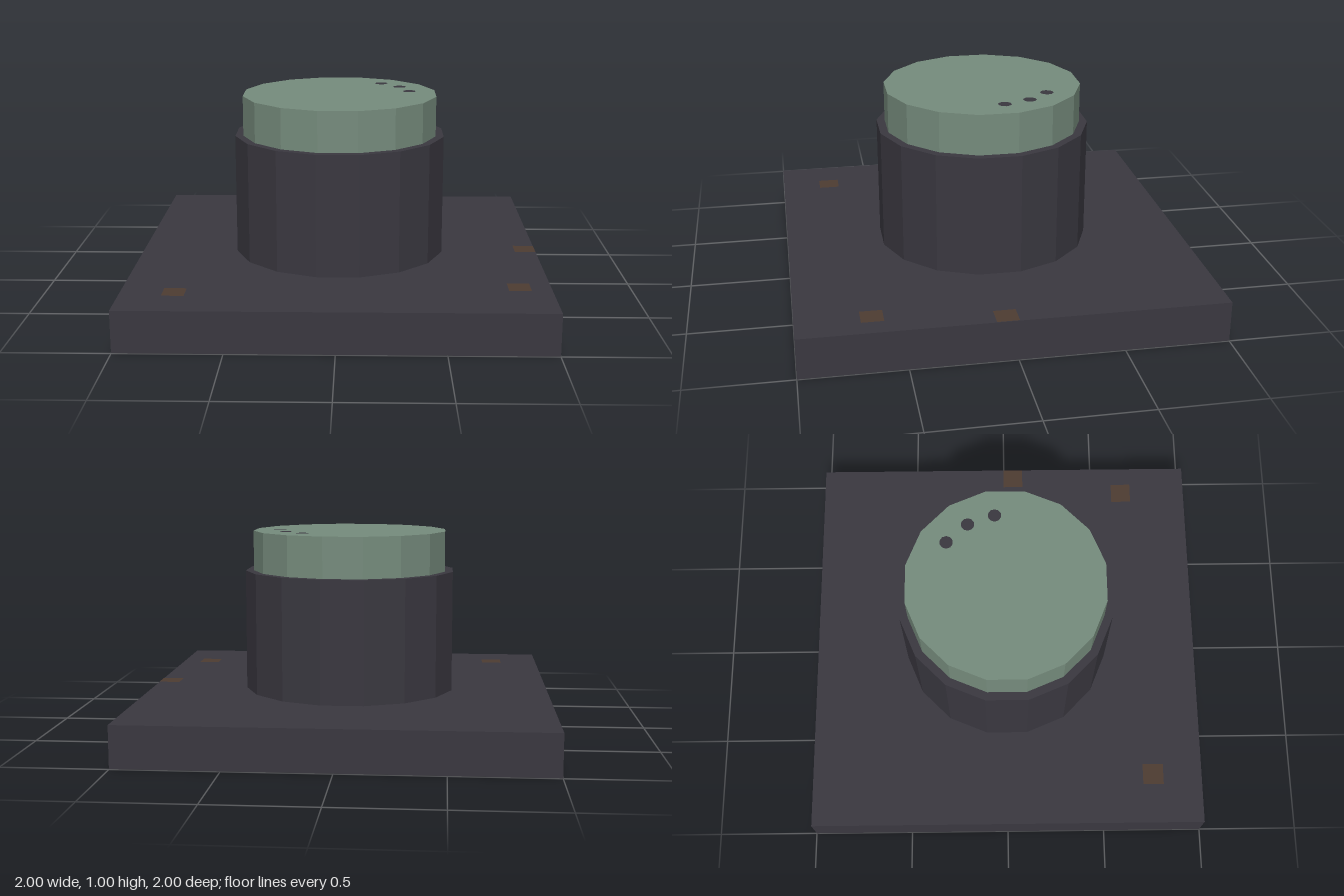
import * as THREE from 'three';

export function createModel() {
  const group = new THREE.Group();
  const mat = (name, color) => {
    const m = new THREE.MeshStandardMaterial({ color });
    m.name = name;
    return m;
  };
  const iron = mat('dark iron', 0x3a3840);
  const green = mat('muted green', 0x768c7d);
  const rust = mat('rust brown', 0x4e3c32);

  const add = (name, geometry, material, x, y, z) => {
    const mesh = new THREE.Mesh(geometry, material);
    mesh.name = name;
    mesh.position.set(x, y, z);
    group.add(mesh);
    return mesh;
  };

  // Sixteen-sided drum with a flat facet facing each axis
  const drum = (apothem, height) => {
    const r = apothem / Math.cos(Math.PI / 16);
    const g = new THREE.CylinderGeometry(r, r, height, 16, 1, false, Math.PI / 16).toNonIndexed();
    g.computeVertexNormals();
    return g;
  };

  // Square base, post and button cap
  add('base', new THREE.BoxGeometry(2, 0.2, 2), iron, 0, 0.1, 0);
  add('post', drum(0.52, 0.6), iron, 0, 0.5, 0);
  add('cap', drum(0.48, 0.2), green, 0, 0.9, 0);

  // Rust spots on the top of the base, mirrored on the underside
  for (const [x, z] of [[-0.75, 0.75], [0.85, 0.65], [0.95, 0.05]]) {
    const spot = new THREE.PlaneGeometry(0.105, 0.105);
    const px = Math.min(x, 0.947);
    add('rustSpotTop', spot, rust, px, 0.202, z).rotation.x = -Math.PI / 2;
    add('rustSpotBottom', spot, rust, px, -0.002, -z).rotation.x = Math.PI / 2;
  }

  // Three small dots along the rim of the cap
  for (let i = 0; i < 3; i++) {
    const a = THREE.MathUtils.degToRad(8.3 + 22.5 * i);
    const dot = add('capDot', new THREE.CircleGeometry(0.033, 10), iron,
      0.355 * Math.cos(a), 1.002, -0.355 * Math.sin(a));
    dot.rotation.x = -Math.PI / 2;
  }
  return group;
}
